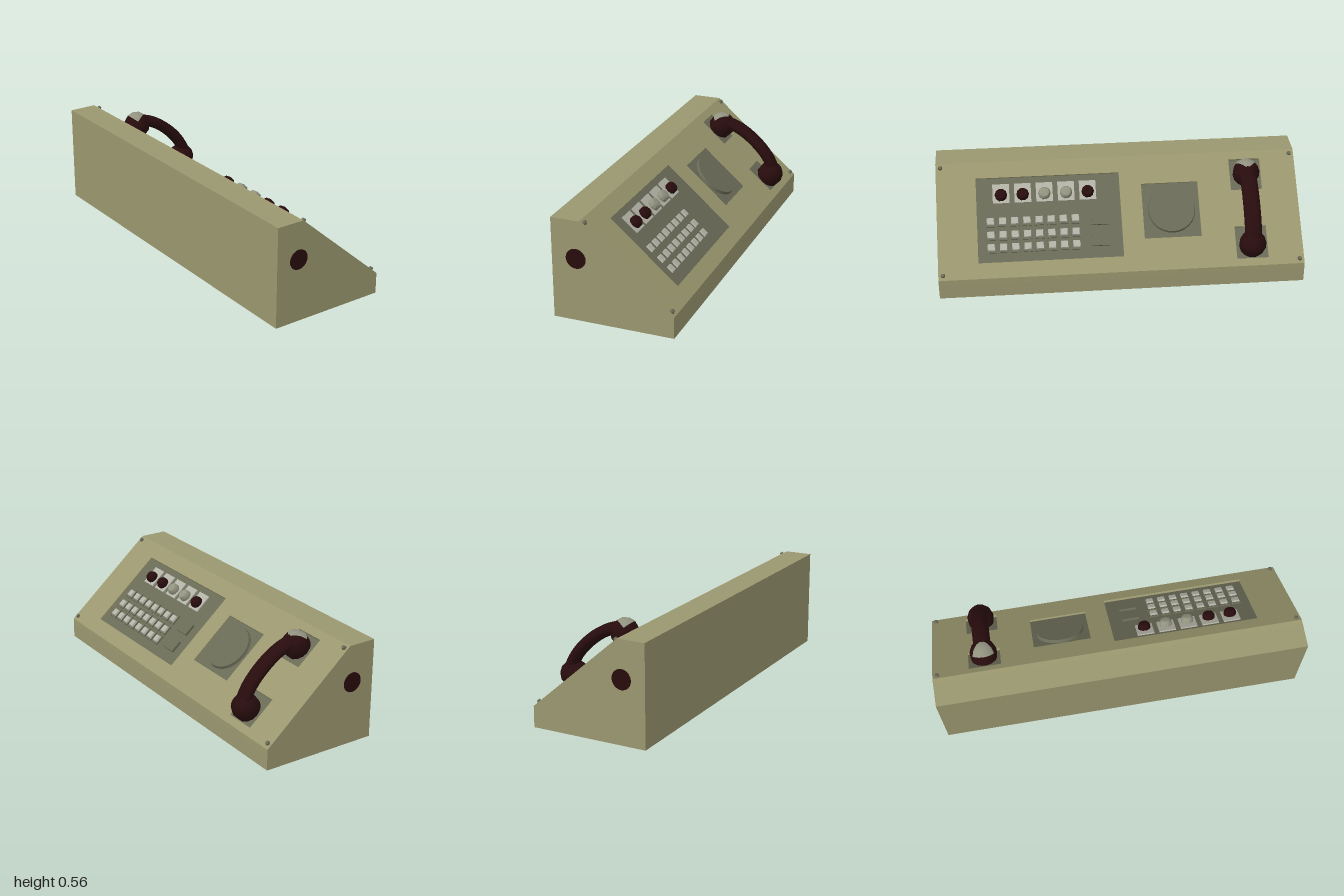
import * as THREE from 'three';
import { toCreasedNormals } from 'three/addons/utils/BufferGeometryUtils.js';

function material(name, color, side = THREE.FrontSide) {
  const m = new THREE.MeshStandardMaterial({ color, side });
  m.name = name;
  return m;
}

export function createModel() {
  const root = new THREE.Group();
  root.name = 'controlConsole';
  const casing = material('olive casing', 0x9a976f);
  const panel = material('grey panel', 0x696a56);
  const maroon = material('dark maroon', 0x280c0d, THREE.DoubleSide);
  const pale = material('pale key', 0xb2b2a6);
  const lampGrey = material('grey lamp', 0x929280, THREE.DoubleSide);

  const add = (parent, name, geometry, mat, x = 0, y = 0, z = 0) => {
    const mesh = new THREE.Mesh(geometry, mat);
    mesh.name = name;
    mesh.position.set(x, y, z);
    parent.add(mesh);
    return mesh;
  };

  // Wedge-shaped body, slightly lowered under the sloping cover
  const profile = new THREE.Shape([
    [-0.33, 0], [0.325, 0], [0.325, 0.0885], [-0.205, 0.55], [-0.33, 0.55],
  ].map(([x, y]) => new THREE.Vector2(x, y)));
  const bodyGeo = new THREE.ExtrudeGeometry(profile, { depth: 2, bevelEnabled: false });
  add(root, 'body', bodyGeo, casing, 0, 0, -1);

  // Round grilles on both ends
  for (const s of [-1, 1]) {
    const grille = add(root, 'endGrille', new THREE.CylinderGeometry(0.054, 0.054, 0.006, 24), maroon, -0.198, 0.345, s);
    grille.rotation.x = Math.PI / 2;
  }

  // Slope frame: x runs down the slope, y is its normal
  const slope = new THREE.Group();
  slope.name = 'slopingFace';
  slope.position.set(-0.175, 0.55, 0);
  slope.rotation.z = -0.716;
  root.add(slope);
  const down = (x) => (x + 0.175) / 0.754;

  // Recess rectangles: [x0, x1, z0, z1, floor height]
  const recesses = {
    keypadPanel: [-0.105, 0.258, -0.01, 0.782, -0.012],
    speakerPanel: [-0.05, 0.187, -0.445, -0.13, -0.01],
    upperCradle: [-0.14, -0.005, -0.805, -0.63, -0.017],
    lowerCradle: [0.155, 0.292, -0.805, -0.63, -0.017],
  };
  const rect = (Type, u0, u1, z0, z1) => new Type([
    new THREE.Vector2(u0, -z1), new THREE.Vector2(u1, -z1),
    new THREE.Vector2(u1, -z0), new THREE.Vector2(u0, -z0),
  ]);
  const coverShape = rect(THREE.Shape, 0, 0.662, -1, 1);
  for (const [name, [x0, x1, z0, z1, top]] of Object.entries(recesses)) {
    const u0 = down(x0), u1 = down(x1);
    coverShape.holes.push(rect(THREE.Path, u0, u1, z0, z1));
    const h = top + 0.021;
    add(slope, name, new THREE.BoxGeometry(u1 - u0, h, z1 - z0), panel, (u0 + u1) / 2, top - h / 2, (z0 + z1) / 2);
  }

  // Cover plate with openings; its long edges are mitred to meet the body
  const coverGeo = new THREE.ExtrudeGeometry(coverShape, { depth: 0.02, bevelEnabled: false });
  coverGeo.rotateX(-Math.PI / 2).translate(0, -0.02, 0);
  const p = coverGeo.attributes.position;
  for (let i = 0; i < p.count; i++) {
    if (p.getY(i) > -0.01) continue;
    if (p.getX(i) < 0.001) p.setX(i, -0.0226);
    else if (p.getX(i) > 0.661) p.setX(i, 0.68);
  }
  coverGeo.computeVertexNormals();
  add(slope, 'cover', coverGeo, casing);

  // Corner screws
  for (const x of [-0.157, 0.303]) for (const z of [-0.975, 0.975]) {
    add(slope, 'screw', new THREE.CylinderGeometry(0.009, 0.013, 0.014, 10), panel, down(x), 0.006, z);
  }

  // Speaker disc
  add(slope, 'speakerDisc', new THREE.CylinderGeometry(0.128, 0.132, 0.016, 32), panel, down(0.066), -0.002, -0.29);

  // Grid of keys
  for (const x of [0.083, 0.141, 0.194]) for (let i = 0; i < 8; i++) {
    const z = 0.243 + i * 0.0665;
    add(slope, 'keyBase', new THREE.BoxGeometry(0.06, 0.008, 0.052), panel, down(x), -0.008, z);
    const key = new THREE.CylinderGeometry(0.025, 0.032, 0.014, 4).toNonIndexed();
    key.rotateY(Math.PI / 4).computeVertexNormals();
    add(slope, 'key', key, pale, down(x), -0.002, z);
  }

  // Two wide switches
  for (const x of [0.09, 0.18]) {
    add(slope, 'wideSwitch', new THREE.BoxGeometry(0.07, 0.014, 0.095), panel, down(x), -0.006, 0.11);
  }

  // Row of indicator lamps on pale plates
  const lampProfile = [[0.034, 0], [0.034, 0.02], [0.026, 0.034], [0, 0.04]].map(([r, y]) => new THREE.Vector2(r, y));
  const lampGeo = toCreasedNormals(new THREE.LatheGeometry(lampProfile, 10), 0.6);
  [maroon, lampGrey, lampGrey, maroon, maroon].forEach((mat, i) => {
    const z = 0.168 + i * 0.1195;
    add(slope, 'lampPlate', new THREE.BoxGeometry(0.11, 0.008, 0.092), pale, down(-0.036), -0.009, z);
    add(slope, 'lamp', lampGeo, mat, down(-0.028), -0.008, z);
  });

  // Handset, symmetric along the slope
  const handset = new THREE.Group();
  handset.name = 'handset';
  handset.position.set(0.341, 0, -0.717);
  slope.add(handset);
  const cupProfile = [[0, -0.014], [0.058, -0.014], [0.07, -0.002], [0.074, 0.045], [0.06, 0.078], [0.034, 0.1], [0, 0.106]]
    .map(([r, y]) => new THREE.Vector2(r, y));
  const cupGeo = toCreasedNormals(new THREE.LatheGeometry(cupProfile, 14), 0.7);
  for (const s of [-1, 1]) add(handset, 'cup', cupGeo, maroon, s * 0.205, 0, 0);

  const half = [[0.225, 0.05], [0.17, 0.082], [0.12, 0.1], [0.06, 0.111]];
  const path = new THREE.CatmullRomCurve3([
    ...half.map(([u, n]) => new THREE.Vector3(-u, n, 0)),
    new THREE.Vector3(0, 0.114, 0),
    ...half.slice().reverse().map(([u, n]) => new THREE.Vector3(u, n, 0)),
  ]);
  const handle = add(handset, 'handle', new THREE.TubeGeometry(path, 28, 0.033, 14), maroon);
  handle.scale.z = 1.42;

  // Worn grey patch on the upper cup
  const patchProfile = [[0.076, 0.047], [0.062, 0.08], [0.035, 0.102], [0.012, 0.106]].map(([r, y]) => new THREE.Vector2(r, y));
  add(handset, 'cupPatch', new THREE.LatheGeometry(patchProfile, 6, Math.PI * 1.22, Math.PI * 0.56), lampGrey, -0.205, 0, 0);

  return root;
}
